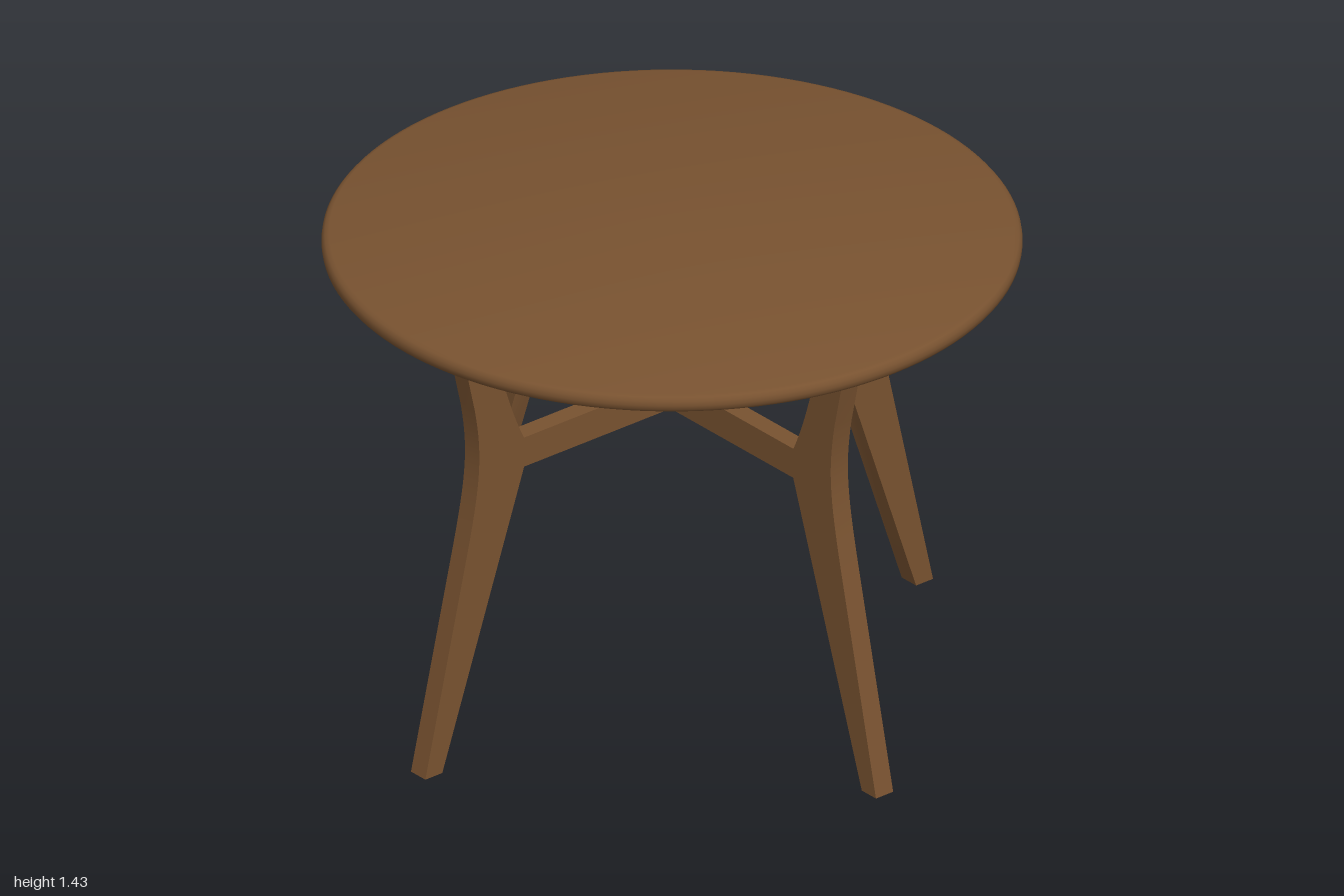
import * as THREE from 'three';
import { toCreasedNormals } from 'three/addons/utils/BufferGeometryUtils.js';

const LEG_HALF = 0.032;
const UNDERSIDE = 1.38;

// Leg outline in its radial plane (distance from axis, height), extruded to its thickness
function legGeometry() {
  const s = new THREE.Shape();
  s.moveTo(0.881, 0);
  s.lineTo(0.944, 0);
  s.lineTo(0.787, 0.68);
  s.bezierCurveTo(0.737, 0.9, 0.732, 0.98, 0.76, 1.13);
  s.lineTo(0.817, UNDERSIDE);
  s.lineTo(0.698, UNDERSIDE);
  s.quadraticCurveTo(0.655, 1.14, 0.577, 0.98);
  s.lineTo(0.577, 0.885);
  s.closePath();
  const g = new THREE.ExtrudeGeometry(s, { depth: LEG_HALF * 2, bevelEnabled: false, curveSegments: 14 });
  g.translate(0, 0, -LEG_HALF);
  return toCreasedNormals(g, 0.35);
}

// Round top with a softened rim
function topGeometry() {
  const profile = [
    [0, UNDERSIDE], [0.978, UNDERSIDE], [0.99, 1.384], [0.998, 1.394], [1, 1.406],
    [0.998, 1.419], [0.99, 1.429], [0.978, 1.433], [0, 1.433],
  ].map(([r, y]) => new THREE.Vector2(r, y));
  return toCreasedNormals(new THREE.LatheGeometry(profile, 128), 0.6);
}

export function createModel() {
  const model = new THREE.Group();
  model.name = 'roundTable';
  const wood = new THREE.MeshStandardMaterial({ color: 0x785230 });
  wood.name = 'brown wood';

  const add = (name, geometry) => {
    const mesh = new THREE.Mesh(geometry, wood);
    mesh.name = name;
    model.add(mesh);
    return mesh;
  };

  add('tableTop', topGeometry());

  // Four splayed legs on the diagonals, four aprons between them
  const leg = legGeometry();
  const apron = new THREE.BoxGeometry(1.04, 0.09, 0.045);
  apron.translate(0, 1.335, 0.5655);
  for (let i = 0; i < 4; i++) {
    add('leg', leg).rotation.y = Math.PI / 4 + (i * Math.PI) / 2;
    add('apron', apron).rotation.y = (i * Math.PI) / 2;
  }

  // Crossed stretchers joining opposite legs: one full rail and two half rails
  const rail = new THREE.BoxGeometry(1.17, 0.094, 0.06);
  rail.translate(0, 0.932, 0);
  add('stretcher', rail).rotation.y = Math.PI / 4;
  const half = new THREE.BoxGeometry(0.555, 0.094, 0.06);
  half.translate(0.3075, 0.932, 0);
  for (const side of [-1, 1]) add('halfStretcher', half).rotation.y = Math.PI / 4 + (side * Math.PI) / 2;

  return model;
}
